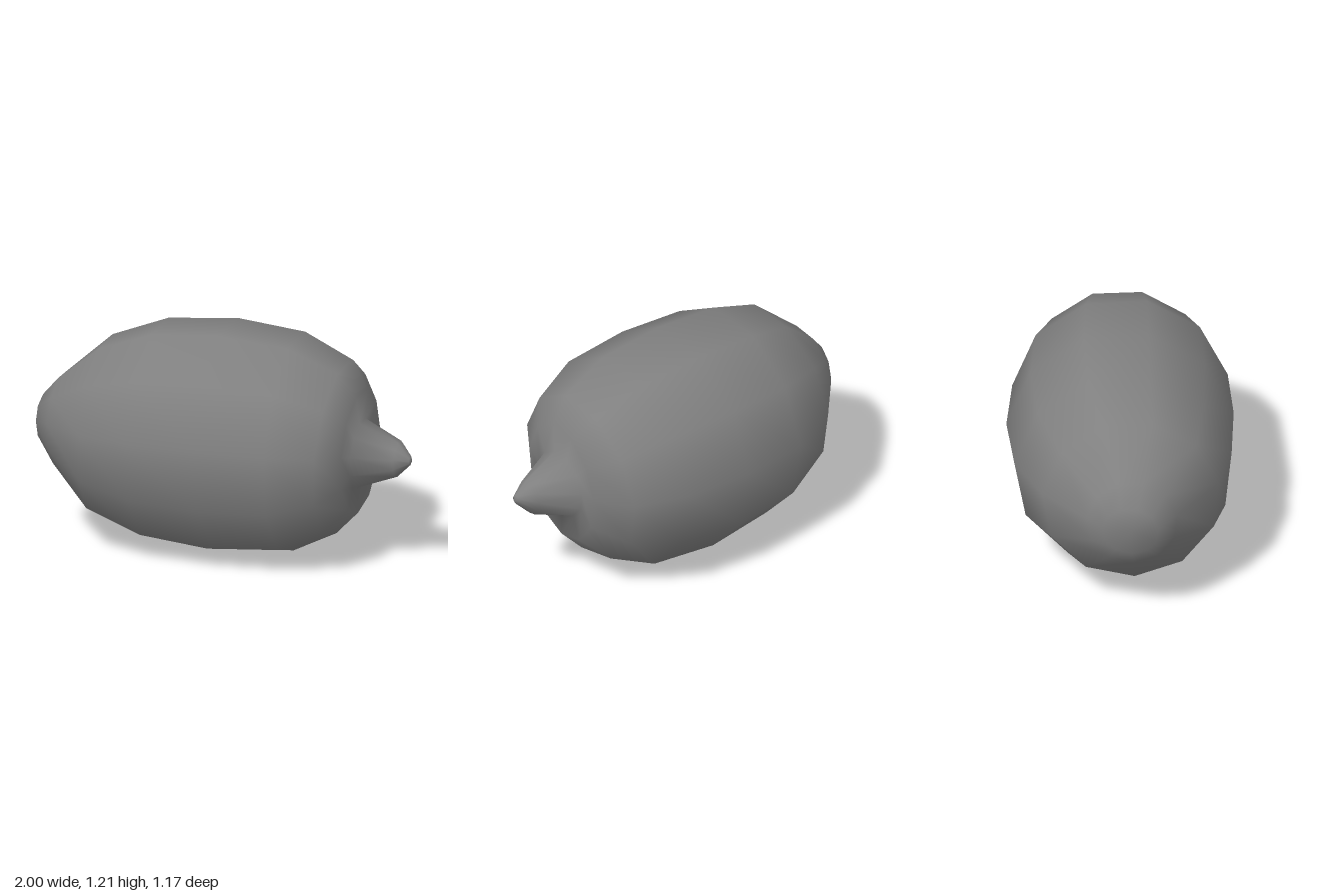
import * as THREE from 'three';

const SIDES = 11;

// Cross-sections along x: [x, centre y, centre z, radius y, radius z, lean by y, lean by z]
const SECTIONS = [
  // blossom end
  [-0.975, 0.62, 0.025, 0.143, 0.147, -0.08, -0.14],
  [-0.9, 0.627, 0.035, 0.245, 0.235, 0.0, -0.04],
  // plump body
  [-0.68, 0.625, 0.035, 0.46, 0.46, 0.03, 0.02],
  [-0.39, 0.614, 0.005, 0.574, 0.566, 0, 0],
  [-0.02, 0.612, 0, 0.612, 0.592, 0, 0],
  [0.35, 0.614, 0.01, 0.579, 0.561, 0, 0],
  [0.6, 0.615, 0.018, 0.46, 0.454, 0.04, -0.03],
  [0.71, 0.615, 0.04, 0.33, 0.285, 0.02, -0.07],
  // pointed nipple, rising straight from the shoulder
  [0.712, 0.607, 0.042, 0.185, 0.174, 0.06, -0.02],
  [0.92, 0.602, 0.05, 0.097, 0.085, 0.05, -0.05],
  [0.99, 0.607, 0.07, 0.025, 0.025, 0, 0],
];

// Smooth closed skin through the sections, with a fan at each end
function loft(sections, startTip, endTip) {
  const points = [];
  const faces = [];
  for (const [x, cy, cz, ry, rz, leanY, leanZ] of sections) {
    for (let k = 0; k < SIDES; k++) {
      const a = (k / SIDES) * Math.PI * 2 + 0.04;
      const dy = -Math.cos(a) * ry;
      const dz = Math.sin(a) * rz;
      points.push(x + leanY * dy + leanZ * dz, cy + dy, cz + dz);
    }
  }
  const last = sections.length - 1;
  const start = sections.length * SIDES;
  points.push(...startTip, ...endTip);
  for (let k = 0; k < SIDES; k++) {
    const n = (k + 1) % SIDES;
    for (let i = 0; i < last; i++) {
      const a = i * SIDES;
      const b = a + SIDES;
      faces.push(a + k, b + k, a + n, b + k, b + n, a + n);
    }
    faces.push(start, k, n);
    faces.push(start + 1, last * SIDES + n, last * SIDES + k);
  }
  const geometry = new THREE.BufferGeometry();
  geometry.setAttribute('position', new THREE.Float32BufferAttribute(points, 3));
  geometry.setIndex(faces);
  geometry.computeVertexNormals();
  return geometry;
}

export function createModel() {
  const model = new THREE.Group();
  model.name = 'lemon';
  const skin = new THREE.MeshStandardMaterial({ color: 0x808080 });
  const fruit = new THREE.Mesh(loft(SECTIONS, [-0.975, 0.622, 0.03], [1, 0.607, 0.07]), skin);
  fruit.name = 'fruit';
  model.add(fruit);
  return model;
}
